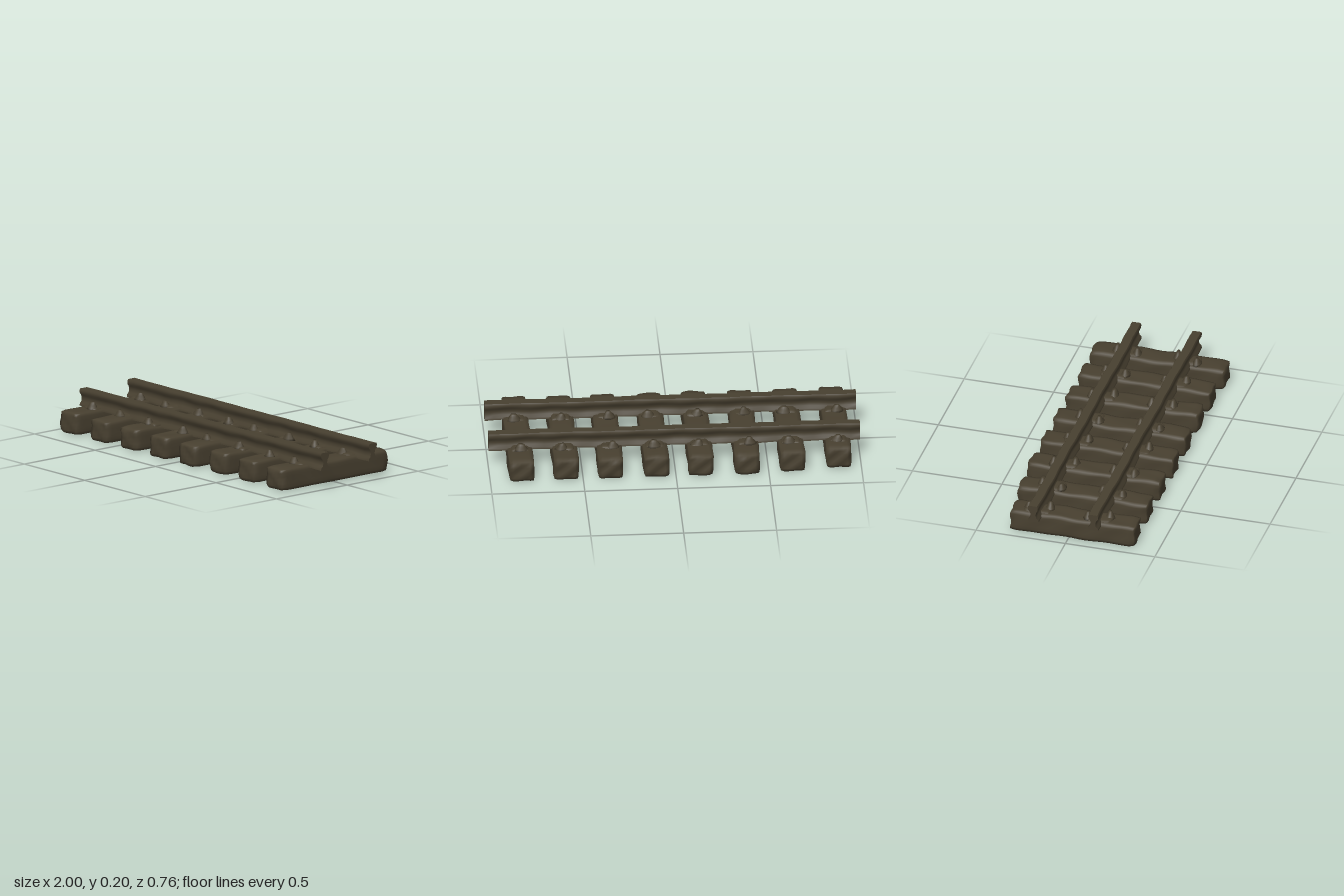
import * as THREE from 'three';
import { mergeVertices, toCreasedNormals } from 'three/addons/utils/BufferGeometryUtils.js';

const weathered = new THREE.MeshStandardMaterial({ color: 0x484030 });
weathered.name = 'weatheredBrown';

// Smooth, position-based roughness
const wave = (x, y, z, s) =>
  Math.sin(x * 47 + z * 19 + s * 2.1) * 0.5 + Math.sin(z * 31 - y * 43 + s * 3.7) * 0.5;

// Moves every vertex of a welded geometry by a rule
function reshape(geometry, rule) {
  geometry.deleteAttribute('uv');
  geometry.deleteAttribute('normal');
  const g = mergeVertices(geometry, 1e-4);
  const p = g.attributes.position;
  const v = new THREE.Vector3();
  for (let i = 0; i < p.count; i++) {
    v.fromBufferAttribute(p, i);
    rule(v);
    p.setXYZ(i, v.x, v.y, v.z);
  }
  g.computeVertexNormals();
  return g;
}

// Worn timber with rounded edges and a slightly uneven surface
function tieGeometry(width, height, length, seed) {
  const r = 0.02;
  const half = new THREE.Vector3(width / 2 - r, height / 2 - r, length / 2 - r);
  const min = half.clone().negate();
  return reshape(new THREE.BoxGeometry(width, height, length, 6, 6, 20), (v) => {
    const inner = v.clone().clamp(min, half);
    const out = v.clone().sub(inner);
    if (out.length() > r) out.setLength(r * 1.15);
    v.copy(inner).add(out);
    const n = wave(v.x, v.y, v.z, seed);
    v.x += n * 0.003;
    v.y += v.y > 0 ? n * 0.003 : n * 0.0015;
    v.z += Math.abs(v.z) > half.z ? Math.sin(v.x * 60 + v.y * 70 + seed) * 0.004 : 0;
  });
}

// Rail cross-section: wide head, narrow web, flared foot
function railGeometry(seed) {
  const side = [[0.03, 0.11], [0.028, 0.122], [0.016, 0.134], [0.013, 0.152],
    [0.017, 0.168], [0.026, 0.18], [0.028, 0.196], [0.023, 0.205]];
  const points = [...side, ...side.slice().reverse().map(([z, y]) => [-z, y])];
  const shape = new THREE.Shape(points.map(([z, y]) => new THREE.Vector2(z, y)));
  const g = new THREE.ExtrudeGeometry(shape, { depth: 2, steps: 40, bevelEnabled: false });
  g.translate(0, 0, -1).rotateY(Math.PI / 2);
  const rough = reshape(g, (v) => {
    v.z += Math.sin(v.x * 9 + seed) * 0.002 + Math.sin(v.x * 31 + v.y * 40 + seed) * 0.0015;
    if (v.y < 0.19) v.y += Math.sin(v.x * 23 + seed) * 0.002;
  });
  return toCreasedNormals(rough, 0.8);
}

// Lumpy fastening beside the rail
function clipGeometry(seed) {
  return reshape(new THREE.CylinderGeometry(0.014, 0.042, 0.042, 9, 3), (v) => {
    const n = wave(v.x * 1.5, v.y, v.z * 1.5, seed);
    v.x += n * 0.006;
    v.z *= 0.72;
    v.y += n * 0.004;
  });
}

function add(parent, geometry, name, x, y, z) {
  const mesh = new THREE.Mesh(geometry, weathered);
  mesh.name = name;
  mesh.position.set(x, y, z);
  parent.add(mesh);
  return mesh;
}

export function createModel() {
  const track = new THREE.Group();
  track.name = 'railwayTrack';
  const railZ = [0.155, -0.18];

  // Rails
  railZ.forEach((z, i) => add(track, railGeometry(i * 2), i ? 'backRail' : 'frontRail', 0, 0, z));

  // Sleepers: x centre, back end, front end
  const ties = [[-0.878, -0.328, 0.368], [-0.628, -0.358, 0.366], [-0.384, -0.375, 0.365],
    [-0.135, -0.375, 0.368], [0.105, -0.373, 0.368], [0.351, -0.374, 0.365],
    [0.59, -0.373, 0.365], [0.831, -0.376, 0.372]];
  ties.forEach(([x, back, front], i) => {
    const sleeper = new THREE.Group();
    sleeper.name = 'sleeper' + (i + 1);
    track.add(sleeper);
    add(sleeper, tieGeometry(0.137, 0.12, front - back, i), 'timber', x, 0.064, (front + back) / 2);

    // Bearing plate and a fastening on each side of both rails
    railZ.forEach((z, k) => {
      add(sleeper, tieGeometry(0.1, 0.05, 0.15, i + k * 5), 'bearingPlate', x, 0.105, z);
      for (const s of [-1, 1]) {
        const shift = Math.sin(i * 2.3 + k + s) * 0.02;
        add(sleeper, clipGeometry(i + k * 3 + s), 'railClip', x + shift, 0.137, z + s * 0.057);
      }
    });
  });
  return track;
}
